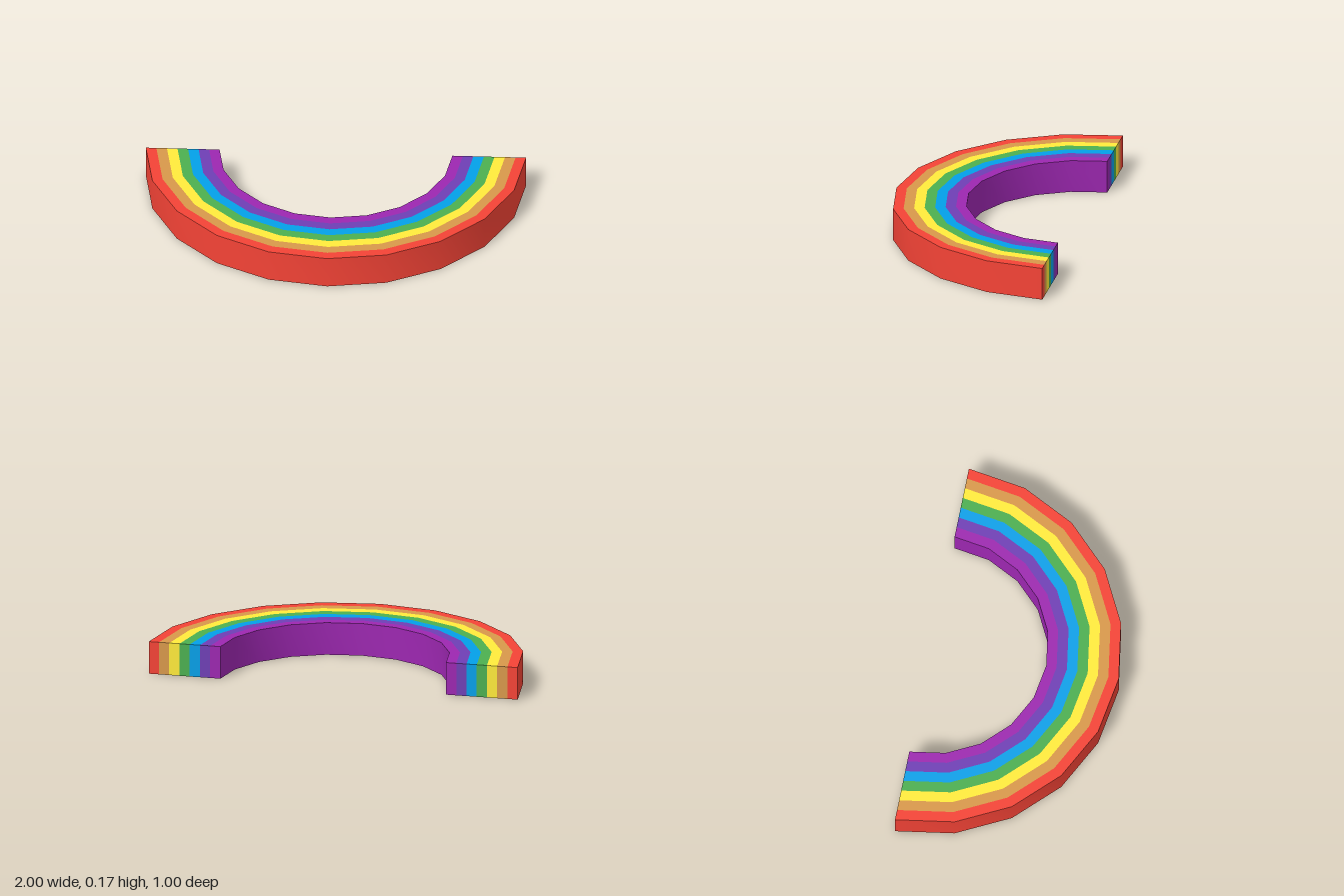
import * as THREE from 'three';
import { toCreasedNormals } from 'three/addons/utils/BufferGeometryUtils.js';

const HEIGHT = 0.175, OUTER = 1, INNER = 0.612, SEGMENTS = 10;

// Colour bands from the outside in
const BANDS = [
  ['redBand', 0xf44336],
  ['orangeBand', 0xd8984a],
  ['yellowBand', 0xffeb3b],
  ['greenBand', 0x4caf50],
  ['blueBand', 0x03a0e8],
  ['indigoBand', 0x6f3fb5],
  ['violetBand', 0x9c27b0],
];

// Points of a faceted half circle
function halfCircle(radius) {
  return Array.from({ length: SEGMENTS + 1 }, (_, i) => {
    const a = (Math.PI * i) / SEGMENTS;
    return new THREE.Vector2(radius * Math.cos(a), radius * Math.sin(a));
  });
}

// Half ring lying flat, curved towards +z, with smooth curved walls and sharp edges
function bandGeometry(inner, outer) {
  const shape = new THREE.Shape([...halfCircle(outer), ...halfCircle(inner).reverse()]);
  const geometry = new THREE.ExtrudeGeometry(shape, { depth: HEIGHT, bevelEnabled: false });
  geometry.rotateX(Math.PI / 2);
  geometry.translate(0, HEIGHT, -0.5);
  return toCreasedNormals(geometry, Math.PI / 6);
}

export function createModel() {
  const model = new THREE.Group();
  model.name = 'rainbow';
  const width = (OUTER - INNER) / BANDS.length;
  BANDS.forEach(([name, color], i) => {
    const outer = OUTER - i * width;
    const band = new THREE.Mesh(
      bandGeometry(outer - width, outer),
      new THREE.MeshStandardMaterial({ color })
    );
    band.name = name;
    model.add(band);
  });
  return model;
}
